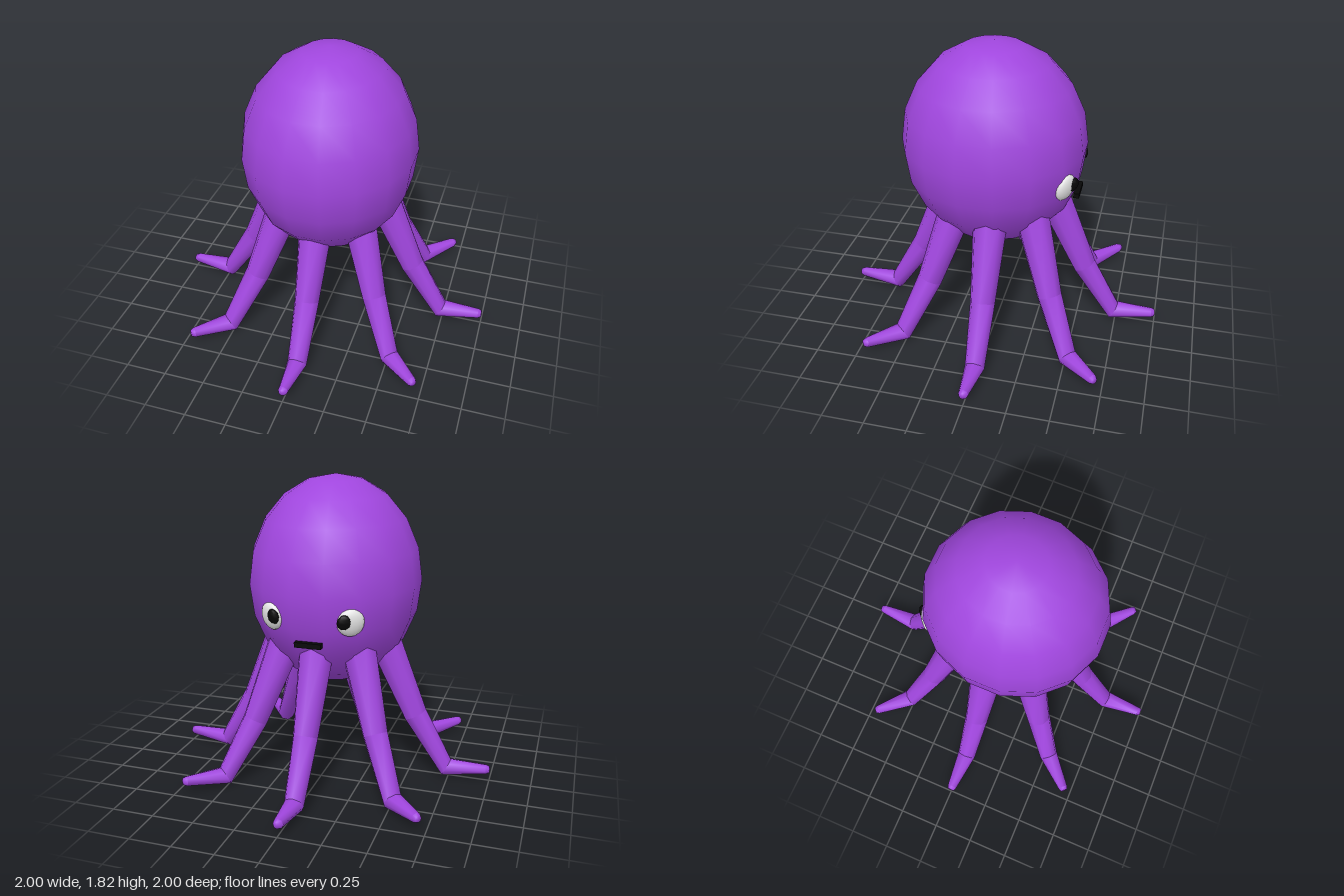
import * as THREE from 'three';
import { mergeGeometries } from 'three/addons/utils/BufferGeometryUtils.js';

const SIDES = 8;

// One tapered eight-sided segment between two rings; each ring is {x, y, r, n}
// with n the in-plane direction of the ring's first corner.
function segment(a, b, capped) {
  const pos = [], idx = [];
  for (const ring of [a, b]) {
    for (let i = 0; i < SIDES; i++) {
      const t = (i / SIDES) * Math.PI * 2;
      const c = Math.cos(t) * ring.r, s = Math.sin(t) * ring.r;
      pos.push(ring.x + ring.n.x * c, ring.y + ring.n.y * c, s);
    }
  }
  for (let i = 0; i < SIDES; i++) {
    const j = (i + 1) % SIDES;
    idx.push(i, j, SIDES + j, i, SIDES + j, SIDES + i);
  }
  if (capped) {
    pos.push(b.x, b.y, 0);
    for (let i = 0; i < SIDES; i++) idx.push(2 * SIDES, SIDES + i, SIDES + (i + 1) % SIDES);
  }
  const g = new THREE.BufferGeometry();
  g.setAttribute('position', new THREE.Float32BufferAttribute(pos, 3));
  g.setIndex(idx);
  g.computeVertexNormals();
  return g;
}

// Leg reaching out along +x: hip, knee, ankle, toe, rounded tip
function legGeometry() {
  const path = [
    [0.29, 0.92, 0.11], [0.53, 0.385, 0.076], [0.735, 0.057, 0.06],
    [0.98, 0.075, 0.03], [1.0, 0.076, 0.02],
  ].map(([x, y, r]) => ({ x, y, r }));
  const dir = (a, b) => new THREE.Vector2(b.x - a.x, b.y - a.y).normalize();
  path.forEach((p, i) => {
    const d = new THREE.Vector2();
    if (i > 0) d.add(dir(path[i - 1], p));
    if (i < path.length - 1) d.add(dir(p, path[i + 1]));
    d.normalize();
    p.n = new THREE.Vector2(-d.y, d.x);
  });
  const parts = [];
  for (let i = 0; i < path.length - 1; i++) {
    parts.push(segment(path[i], path[i + 1], i === path.length - 2));
  }
  return mergeGeometries(parts);
}

export function createModel() {
  const material = (name, color) => {
    const m = new THREE.MeshStandardMaterial({ color });
    m.name = name;
    return m;
  };
  const purple = material('purple skin', 0xa046de);
  const white = material('eye white', 0xf0f0f0);
  const black = material('black', 0x080808);

  const model = new THREE.Group();
  model.name = 'octopus';
  const add = (name, geometry, mat, parent = model) => {
    const mesh = new THREE.Mesh(geometry, mat);
    mesh.name = name;
    parent.add(mesh);
    return mesh;
  };

  // Egg-shaped head, turned half a step so flat sides face the axes
  const headShape = new THREE.SphereGeometry(1, 16, 10);
  headShape.rotateY(Math.PI / 16);
  headShape.scale(0.525, 0.633, 0.561);
  add('head', headShape, purple).position.set(0, 1.195, 0.05);

  // Eight legs in a ring
  const legs = new THREE.Group();
  legs.name = 'legs';
  model.add(legs);
  const legShape = legGeometry();
  for (let i = 0; i < 8; i++) {
    add('leg', legShape, purple, legs).rotation.y = (i * Math.PI) / 4;
  }

  // Flattened eyes lying on the head, with pupils turned inward
  for (const side of [1, -1]) {
    const normal = new THREE.Vector3(side * 0.887, -0.3, -1.57).normalize();
    const turn = new THREE.Quaternion().setFromUnitVectors(new THREE.Vector3(0, 0, -1), normal);
    const eye = add('eye', new THREE.SphereGeometry(1, 16, 10), white);
    eye.scale.set(0.08, 0.083, 0.038);
    eye.position.set(side * 0.235, 1.06, -0.42);
    eye.quaternion.copy(turn);
    const pupil = add('pupil', new THREE.SphereGeometry(1, 8, 6), black);
    pupil.scale.set(0.044, 0.045, 0.024);
    pupil.position.set(side * 0.21, 1.07, -0.462);
    pupil.quaternion.copy(turn);
  }

  // Straight mouth
  add('mouth', new THREE.BoxGeometry(0.16, 0.03, 0.035), black).position.set(0, 0.92, -0.467);

  return model;
}
